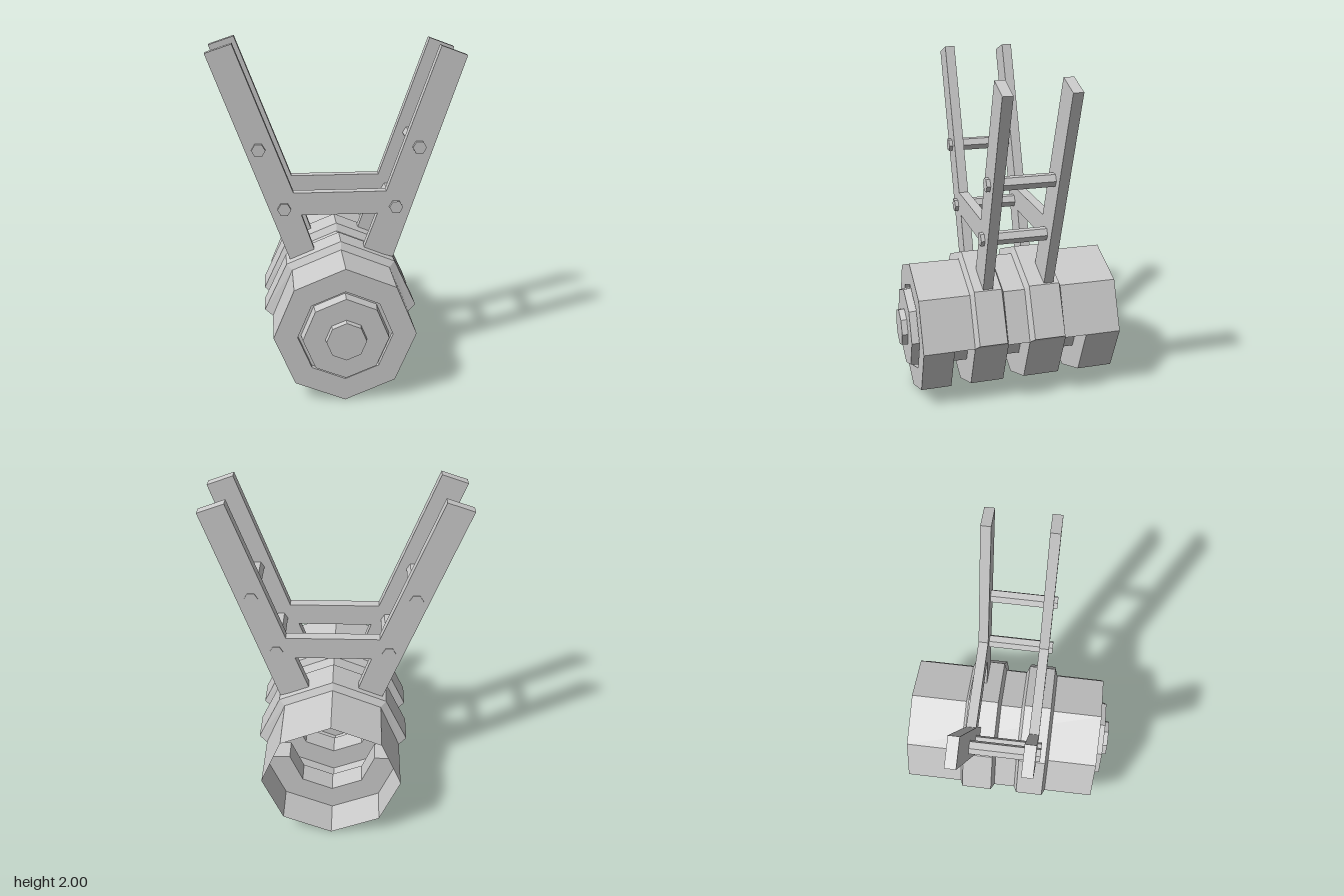
import * as THREE from 'three';

const CX = 0.01, CY = 0.41, R = 0.405, GROOVE = 0.255;
const material = new THREE.MeshStandardMaterial({ color: 0xcccccc, flatShading: true, side: THREE.DoubleSide });

function part(name, geometry, parent, x = 0, y = 0, z = 0) {
  const mesh = new THREE.Mesh(geometry, material);
  mesh.name = name;
  mesh.position.set(x, y, z);
  parent.add(mesh);
  return mesh;
}

// Half of an eight-sided turned shell along z; profile points are [radius, z]
function halfShell(profile, startAngle) {
  const points = profile.map(([r, z]) => new THREE.Vector2(r, z));
  return new THREE.LatheGeometry(points, 4, startAngle, Math.PI).rotateX(Math.PI / 2);
}

// Half-octagon clamp with chamfered edges, lofted through four rings
function collarGeometry(half) {
  const rings = [[R, half, 0], [0.45, half - 0.018, 0.035], [0.45, 0.018 - half, 0.035], [R, -half, 0]];
  const positions = [], index = [];
  rings.forEach(([r, z, lift]) => {
    for (let j = 0; j <= 4; j++) {
      const a = j * Math.PI / 4;
      positions.push(r * Math.cos(a), r * Math.sin(a) + (j % 4 ? 0 : lift), z);
    }
  });
  for (let i = 0; i < 3; i++) {
    for (let j = 0; j < 4; j++) {
      const a = i * 5 + j, b = a + 1, d = a + 5, c = d + 1;
      index.push(a, d, c, a, c, b);
    }
  }
  index.push(0, 10, 5, 0, 15, 10, 4, 9, 14, 4, 14, 19);
  const geometry = new THREE.BufferGeometry();
  geometry.setAttribute('position', new THREE.Float32BufferAttribute(positions, 3));
  geometry.setIndex(index);
  geometry.computeVertexNormals();
  return geometry;
}

export function createModel() {
  const model = new THREE.Group();
  model.name = 'forkedDrum';

  // Drum: plain upper half, grooved lower half, open at the back
  const drum = new THREE.Group();
  drum.name = 'drum';
  drum.position.set(CX, CY, 0);
  model.add(drum);

  // Front wall, recessed ring, cap and hub
  const frontEnd = [[R, 0.56], [0.27, 0.56], [0.27, 0.53], [0.25, 0.53], [0.243, 0.6], [0.117, 0.6], [0.113, 0.635], [0, 0.635]];
  const grooves = [[-0.42, -0.29], [-0.07, 0.06], [0.26, 0.38]];
  const lower = [[R, -0.635]];
  grooves.forEach(([a, b]) => lower.push([R, a], [GROOVE, a], [GROOVE, b], [R, b]));
  part('upperShell', halfShell([[R, -0.635], ...frontEnd], Math.PI / 2), drum);
  part('lowerShell', halfShell([...lower, ...frontEnd], -Math.PI / 2), drum);

  // Ledges closing the ends of the grooves
  for (const [a, b] of grooves) {
    for (const side of [-1, 1]) {
      const ledge = new THREE.PlaneGeometry(R - GROOVE, b - a).rotateX(Math.PI / 2);
      part('grooveLedge', ledge, drum, side * (R + GROOVE) / 2, 0, (a + b) / 2);
    }
  }

  // Clamps over the upper half
  part('frontCollar', collarGeometry(0.1), drum, 0, 0, 0.16);
  part('backCollar', collarGeometry(0.11), drum, 0, 0, -0.18);

  // Two forked plates, each with a crossbar
  const inner = [[-0.14, 0.79], [-0.215, 1.01], [0.23, 1.01], [0.15, 0.79]];
  const outer = [[0.325, 0.735], [0.725, 1.925], [0.575, 1.98], [0.28, 1.145],
    [-0.26, 1.145], [-0.585, 2.0], [-0.735, 1.95], [-0.285, 0.735]];
  const outline = new THREE.Shape([...inner, ...outer].map(([x, y]) => new THREE.Vector2(x, y)));
  for (const [name, z] of [['frontFork', 0.13], ['backFork', -0.237]]) {
    part(name, new THREE.ExtrudeGeometry(outline, { depth: 0.058, bevelEnabled: false }), model, 0, 0, z);
  }

  // Hexagonal rods joining the forks
  for (const [x, y] of [[-0.455, 1.405], [-0.315, 1.05], [0.465, 1.405], [0.337, 1.05]]) {
    const rod = new THREE.CylinderGeometry(0.04, 0.04, 0.452, 6).rotateX(Math.PI / 2).rotateZ(Math.PI / 6);
    part('crossRod', rod, model, x, y, -0.016);
  }
  return model;
}
